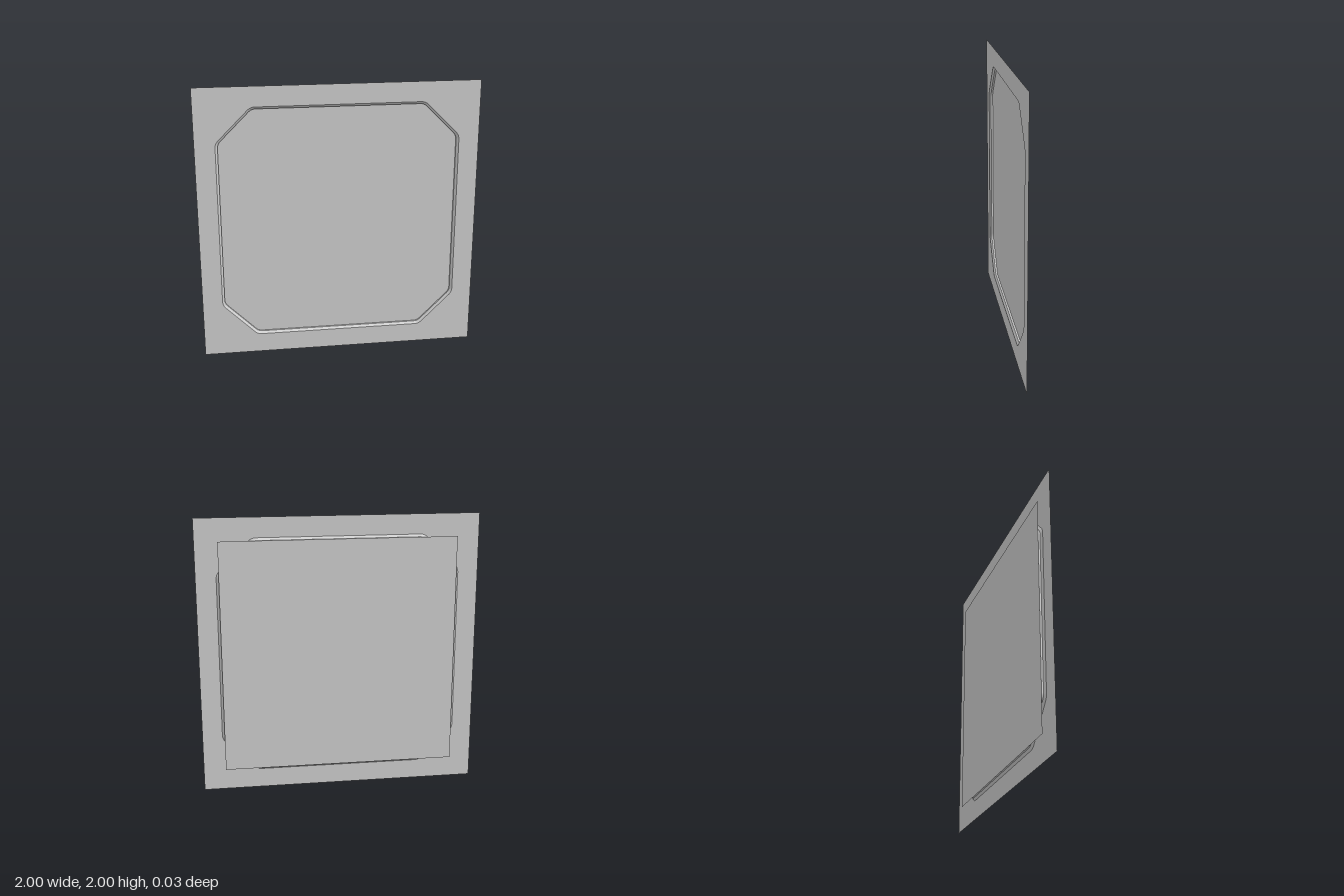
import * as THREE from 'three';

const FRONT = 0.013, MID = 0, BACK = -0.013;

// Chamfered square outline with softened corners, counter-clockwise.
function outline(side, cut, soft, steps = 5) {
  const corners = [
    [side, -cut], [side, cut], [cut, side], [-cut, side],
    [-side, cut], [-side, -cut], [-cut, -side], [cut, -side],
  ].map(([x, y]) => new THREE.Vector2(x, y));
  const points = [];
  corners.forEach((c, i) => {
    const toward = (o) => c.clone().add(o.clone().sub(c).setLength(soft));
    const bend = new THREE.QuadraticBezierCurve(
      toward(corners[(i + 7) % 8]), c, toward(corners[(i + 1) % 8]));
    points.push(...bend.getPoints(steps));
  });
  return points;
}

// Closed strip joining two outlines at different depths, facing the opening.
function wall(a, za, b, zb) {
  const n = a.length, pos = [], index = [];
  for (let i = 0; i < n; i++) pos.push(a[i].x, a[i].y, za, b[i].x, b[i].y, zb);
  for (let i = 0; i < n; i++) {
    const p = 2 * i, q = 2 * ((i + 1) % n);
    index.push(p, q, p + 1, q, q + 1, p + 1);
  }
  const g = new THREE.BufferGeometry();
  g.setAttribute('position', new THREE.Float32BufferAttribute(pos, 3));
  g.setIndex(index);
  g.computeVertexNormals();
  return g;
}

export function createModel() {
  const group = new THREE.Group();
  const grey = new THREE.MeshStandardMaterial({ color: 0xcccccc, side: THREE.DoubleSide });
  grey.name = 'light grey';

  const add = (name, geometry, z = 0) => {
    const mesh = new THREE.Mesh(geometry, grey);
    mesh.name = name;
    mesh.position.set(0, 1, z);
    group.add(mesh);
  };

  const outer = outline(0.857, 0.608, 0.03);
  const inner = outline(0.84, 0.601, 0.028);

  // Flat surround with the eight-sided opening
  const surround = new THREE.Shape([[-1, -1], [1, -1], [1, 1], [-1, 1]]
    .map(([x, y]) => new THREE.Vector2(x, y)));
  surround.holes.push(new THREE.Path(outer));
  add('surround', new THREE.ShapeGeometry(surround), FRONT);

  // Sloped lip, then the straight wall of the recess
  add('bevel', wall(outer, FRONT, inner, MID));
  add('recessWall', wall(inner, MID, inner, BACK));

  // Square sheet closing the recess
  add('backPanel', new THREE.PlaneGeometry(1.68, 1.68), BACK);

  return group;
}
